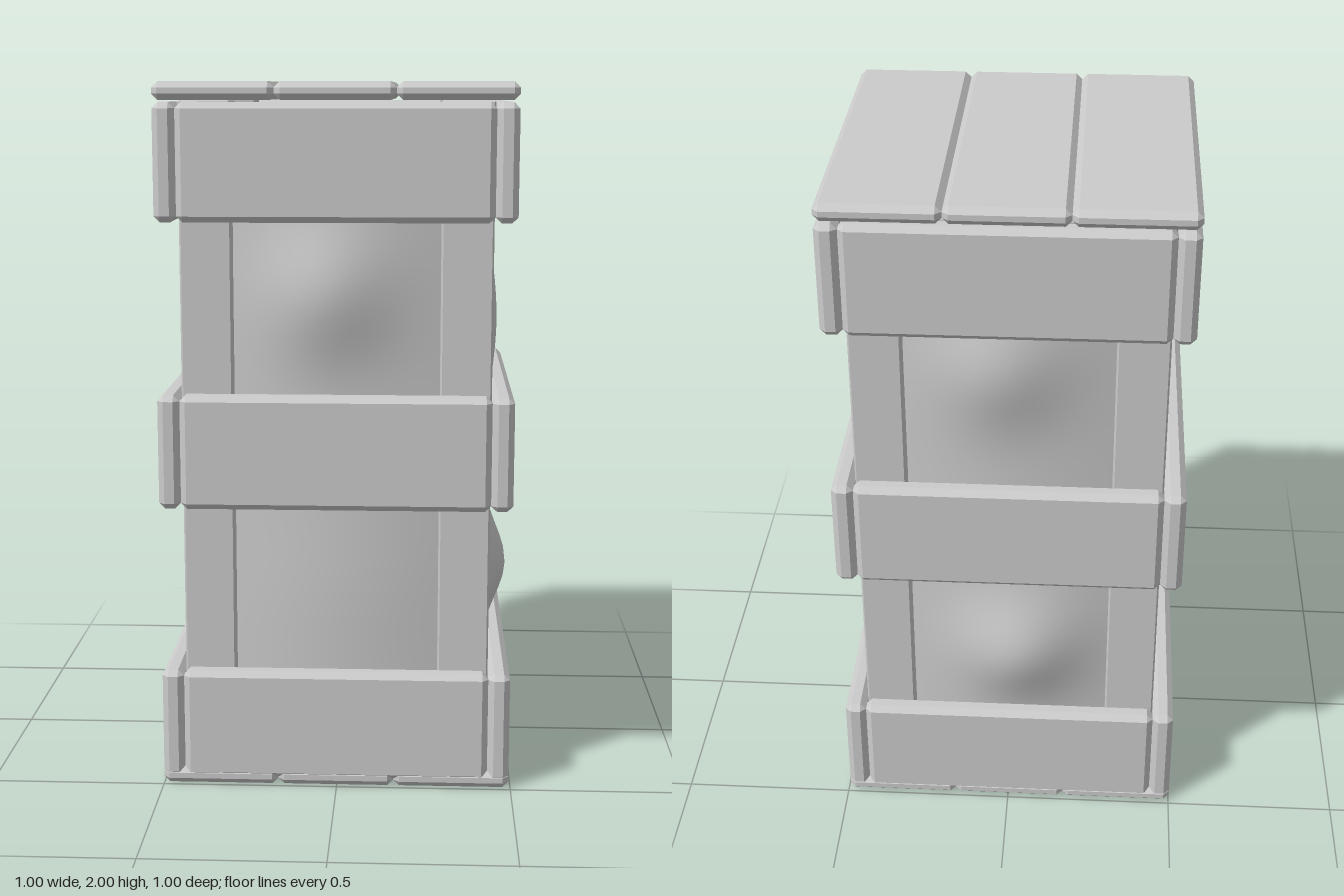
import * as THREE from 'three';
import { ConvexGeometry } from 'three/addons/geometries/ConvexGeometry.js';

const wood = new THREE.MeshStandardMaterial({ color: 0xcccccc });
const cloth = new THREE.MeshStandardMaterial({ color: 0xcccccc, side: THREE.DoubleSide });

// Box with flat chamfers on every edge
function board(name, w, h, d, x, y, z, c = 0.017) {
  const pts = [];
  for (const sx of [-1, 1]) for (const sy of [-1, 1]) for (const sz of [-1, 1]) {
    const X = w / 2, Y = h / 2, Z = d / 2;
    pts.push(
      new THREE.Vector3(sx * X, sy * (Y - c), sz * (Z - c)),
      new THREE.Vector3(sx * (X - c), sy * Y, sz * (Z - c)),
      new THREE.Vector3(sx * (X - c), sy * (Y - c), sz * Z));
  }
  const mesh = new THREE.Mesh(new ConvexGeometry(pts), wood);
  mesh.name = name;
  mesh.position.set(x, y, z);
  return mesh;
}

// Smooth hump of height a around y0, w wide
const hump = (y, a, y0, w) => a * Math.exp(-(((y - y0) / w) ** 2));

// How far each side of the sack swells: y = height, t = position across the side
const swell = {
  right: (y, t) => hump(y, 0.035, 1.3, 0.25) + hump(y, 0.075, 0.56, 0.15) * Math.exp(-(((t - 0.07) / 0.14) ** 2)),
  left: (y) => hump(y, 0.015, 1.4, 0.25) + hump(y, 0.03, 0.56, 0.2),
  front: (y, t) => hump(y, 0.055, 1.42, 0.18) * Math.exp(-(((t + 0.05) / 0.2) ** 2)) + hump(y, 0.005, 0.56, 0.2),
  back: (y, t) => hump(y, 0.05, 1.5, 0.18) * Math.exp(-(((t - 0.04) / 0.2) ** 2))
    + hump(y, 0.065, 0.54, 0.17) * Math.exp(-(((t + 0.04) / 0.2) ** 2)),
};

function sack() {
  const H = 0.37;
  const geo = new THREE.BoxGeometry(2 * H, 1.88, 2 * H, 20, 48, 20);
  geo.translate(0, 0.99, 0);
  const p = geo.attributes.position;
  const arch = (t) => Math.cos((Math.PI / 2) * (t / H));
  for (let i = 0; i < p.count; i++) {
    const x = p.getX(i), y = p.getY(i), z = p.getZ(i);
    const out = (side, t) => H + arch(t) * (0.055 + swell[side](y, t));
    if (Math.abs(x) > H - 1e-4) p.setX(i, Math.sign(x) * out(x > 0 ? 'right' : 'left', z));
    if (Math.abs(z) > H - 1e-4) p.setZ(i, Math.sign(z) * out(z > 0 ? 'front' : 'back', x));
  }
  geo.computeVertexNormals();
  const mesh = new THREE.Mesh(geo, cloth);
  mesh.name = 'sack';
  return mesh;
}

export function createModel() {
  const model = new THREE.Group();
  model.name = 'crate';
  const frame = new THREE.Group();
  frame.name = 'frame';
  frame.position.x = -0.003;
  model.add(frame, sack());

  // Three planks each for the lid and the floor
  for (const [name, y] of [['lidPlank', 1.975], ['floorPlank', 0.025]])
    for (const i of [-1, 0, 1])
      frame.add(board(name, 0.332, 0.05, 0.995, i * 0.332, y, 0));

  // Corner posts
  for (const sx of [-1, 1]) for (const sz of [-1, 1])
    frame.add(board('cornerPost', 0.145, 1.91, 0.145, sx * 0.363, 0.995, sz * 0.363, 0.005));

  // Three bands of boards; side boards cover the full depth
  for (const [y0, y1] of [[0.02, 0.34], [0.815, 1.14], [1.62, 1.945]]) {
    const y = (y0 + y1) / 2, h = y1 - y0;
    for (const s of [-1, 1]) {
      frame.add(board('sideBoard', 0.062, h, 0.995, s * 0.467, y, 0));
      frame.add(board('crossBoard', 0.872, h, 0.062, 0, y, s * 0.467));
    }
  }
  return model;
}
